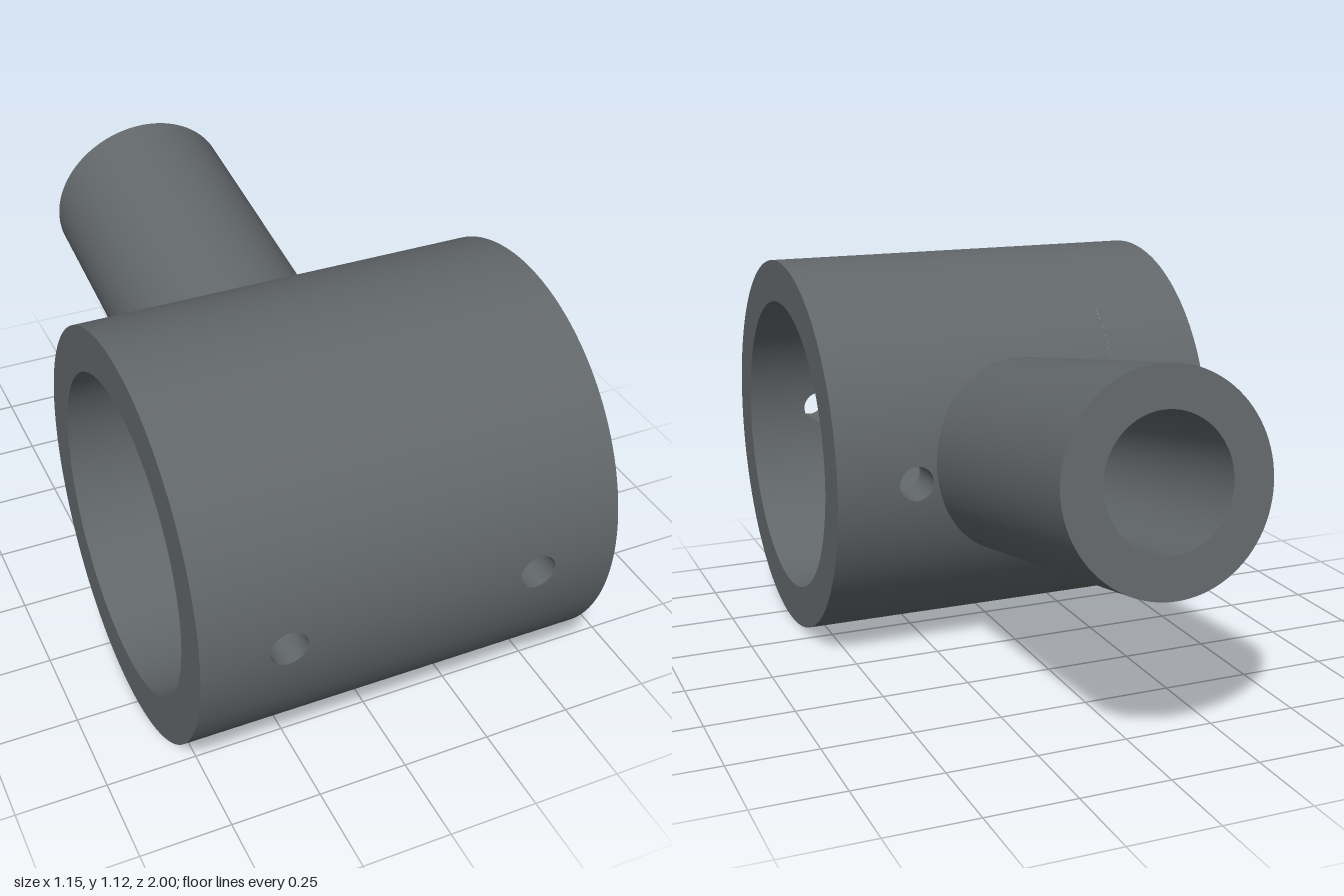
import * as THREE from 'three';

const RO = 0.559, RI = 0.436, HALF = 0.575;       // sleeve radii and half length
const BO = 0.285, BI = 0.175, END = 1.403;        // branch radii and reach
const rad = THREE.MathUtils.degToRad;
const TILT = rad(10), DROP = -0.055;              // branch tilt and axis offset
const HOLE = 0.05, HOLE_X = 0.345, SPLIT = 0.29;  // pin holes, column boundary
const V = (x, y, z) => new THREE.Vector3(x, y, z);
const range = (a, b, n) => Array.from({ length: n + 1 }, (_, i) => a + (b - a) * i / n);
const TURN = range(0, 2 * Math.PI, 96);

// Point on a cylinder around x; side = 1 measures from the front, -1 from the back
const onSleeve = (r, x, a, side) => V(x, r * Math.sin(a), side * r * Math.cos(a));
const branchDir = V(0, Math.sin(TILT), -Math.cos(TILT));
const branchUp = V(0, Math.cos(TILT), Math.sin(TILT));

// Grid surface with given normals; every triangle is turned to face its normal
function surface(us, vs, point, normal) {
  const pts = [], nrm = [], index = [], pos = [], w = vs.length;
  for (const u of us) for (const v of vs) {
    const p = point(u, v), n = normal(p).normalize();
    pts.push(p); nrm.push(...n.toArray()); pos.push(...p.toArray());
  }
  const tri = (a, b, c) => {
    const face = pts[b].clone().sub(pts[a]).cross(pts[c].clone().sub(pts[a]));
    const n = V(nrm[3 * a], nrm[3 * a + 1], nrm[3 * a + 2]);
    index.push(...(face.dot(n) < 0 ? [a, c, b] : [a, b, c]));
  };
  for (let i = 0; i < us.length - 1; i++) for (let j = 0; j < w - 1; j++) {
    const a = i * w + j;
    tri(a, a + w, a + w + 1);
    tri(a, a + w + 1, a + 1);
  }
  const g = new THREE.BufferGeometry();
  g.setAttribute('position', new THREE.Float32BufferAttribute(pos, 3));
  g.setAttribute('normal', new THREE.Float32BufferAttribute(nrm, 3));
  g.setIndex(index);
  return g;
}

// Where a round bore cuts the sleeve, as [x, angle]
const rim = (r, bore, t) => [
  bore.x + bore.r * Math.cos(t),
  bore.tilt + Math.asin((bore.drop + bore.r * Math.sin(t)) / r),
];
const rimPoint = (r, bore, t) => onSleeve(r, ...rim(r, bore, t), bore.side);

// Rectangular piece of sleeve wall, from a bore's rim out to the rectangle
function piercedPatch(r, bore, x0, x1, half, normal) {
  const mid = bore.tilt + Math.asin(bore.drop / r);
  const l = x0 - bore.x, h = x1 - bore.x, lo = r * (-half - mid), hi = r * (half - mid);
  const corners = [[h, hi], [l, hi], [l, lo], [h, lo]]
    .map(([x, y]) => (Math.atan2(y, x) + 2 * Math.PI) % (2 * Math.PI));
  const ts = [...TURN, ...corners].sort((a, b) => a - b);
  return surface(ts, range(0, 1, 8), (t, s) => {
    const c = Math.cos(t), d = Math.sin(t);
    // distance to the nearest rectangle side along this ray
    const k = Math.min(Math.abs((c > 0 ? h : l) / c), Math.abs((d > 0 ? hi : lo) / d));
    const [rx, ra] = rim(r, bore, t);
    const ex = bore.x + k * c, ea = mid + k * d / r;
    return onSleeve(r, rx + (ex - rx) * s, ra + (ea - ra) * s, bore.side);
  }, normal);
}

export function createModel() {
  const model = new THREE.Group();
  model.name = 'angledTubeConnector';
  const body = new THREE.Group();
  body.name = 'connectorBody';
  body.position.set(0, RO, 1 - RO);
  model.add(body);
  const grey = new THREE.MeshStandardMaterial({ color: 0x62676a });
  grey.name = 'darkGrey';
  const add = (name, geometry) => {
    const m = new THREE.Mesh(geometry, grey);
    m.name = name;
    body.add(m);
    return m;
  };

  const pins = [];
  for (const s of [1, -1]) for (const side of [1, -1])
    pins.push({ x: s * HOLE_X, r: HOLE, tilt: 0, drop: 0, side, s });
  const branch = r => ({ x: 0, r, tilt: TILT, drop: DROP, side: -1 });

  // Sleeve walls, outside and inside
  for (const [name, r, sign, br] of [['sleeveOuter', RO, 1, BO], ['sleeveInner', RI, -1, BI]]) {
    const normal = p => V(0, p.y * sign, p.z * sign);
    const strip = (x0, x1, a0, a1) => add(name + 'Wall', surface([x0, x1],
      range(rad(a0), rad(a1), Math.round((a1 - a0) / 2)), (x, a) => onSleeve(r, x, a, 1), normal));
    strip(-SPLIT, SPLIT, -130, 130);
    for (const s of [1, -1]) {
      strip(s * SPLIT, s * HALF, 8, 172);
      strip(s * SPLIT, s * HALF, 188, 352);
    }
    for (const pin of pins) {
      const [x0, x1] = pin.s > 0 ? [SPLIT, HALF] : [-HALF, -SPLIT];
      add(name + 'PinPatch', piercedPatch(r, pin, x0, x1, rad(8), normal));
    }
    add(name + 'BranchPatch', piercedPatch(r, branch(br), -SPLIT, SPLIT, rad(50), normal));
  }

  // Flat sleeve ends
  for (const s of [1, -1]) {
    const end = add('sleeveEnd', new THREE.RingGeometry(RI, RO, 180));
    end.position.x = s * HALF;
    end.rotation.y = s * Math.PI / 2;
  }

  // Pin hole linings through the wall
  for (const pin of pins)
    add('pinHole', surface(TURN, [RI, RO], (t, r) => rimPoint(r, pin, t),
      p => V(pin.x - p.x, -p.y, 0)));

  // Tilted branch: outside and bore, each trimmed to the sleeve
  const endPoint = (r, t) => branchDir.clone().multiplyScalar(END)
    .addScaledVector(branchUp, DROP + r * Math.sin(t)).add(V(r * Math.cos(t), 0, 0));
  for (const [name, br, r, sign] of [['branchOuter', BO, RO, 1], ['branchBore', BI, RI, -1]])
    add(name, surface(TURN, [0, 1],
      (t, s) => rimPoint(r, branch(br), t).lerp(endPoint(br, t), s),
      p => branchUp.clone().multiplyScalar(p.dot(branchUp) - DROP)
        .add(V(p.x, 0, 0)).multiplyScalar(sign)));
  add('branchEnd', surface(TURN, [BI, BO], (t, r) => endPoint(r, t), () => branchDir.clone()));

  return model;
}
